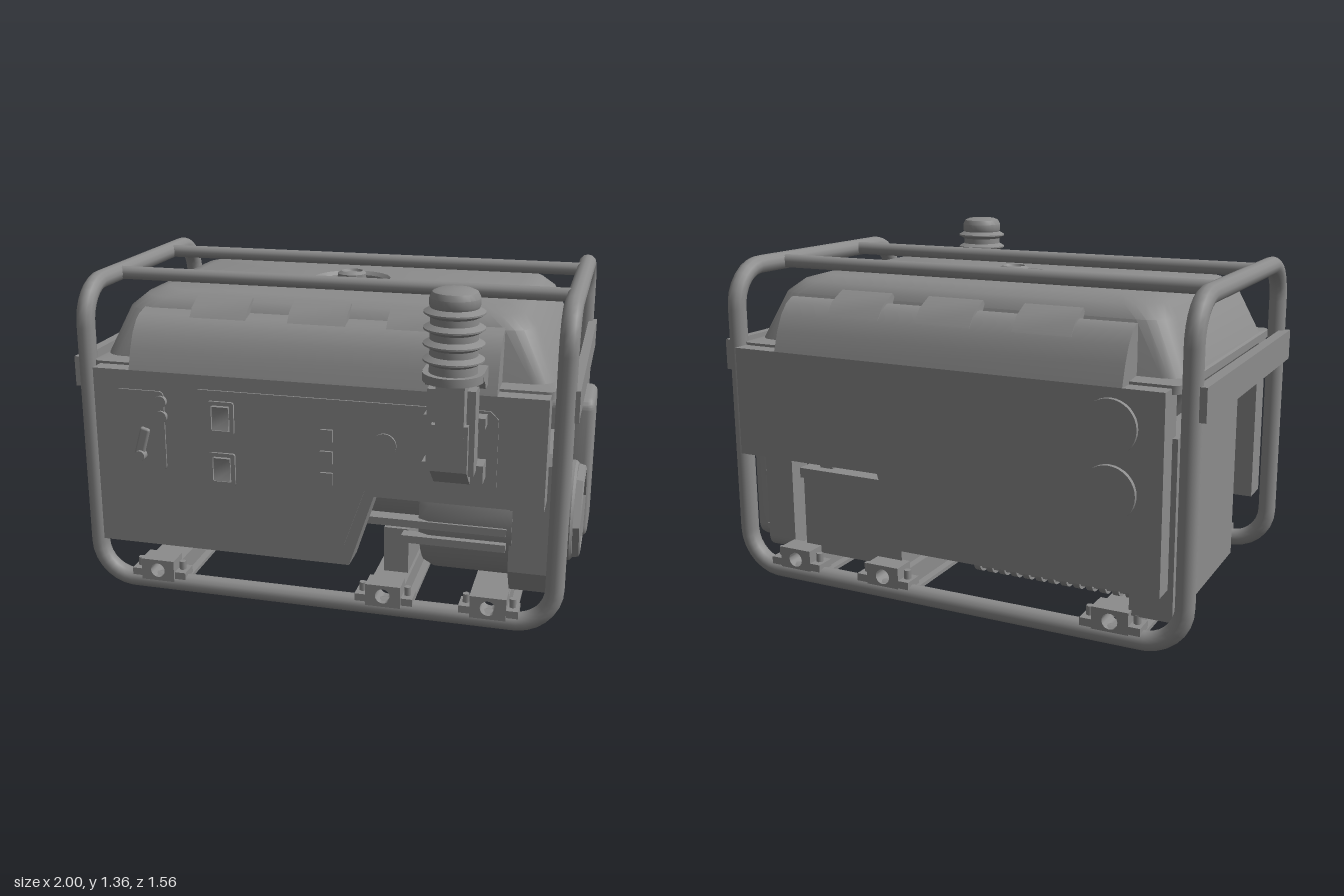
import * as THREE from 'three';
import { toCreasedNormals } from 'three/addons/utils/BufferGeometryUtils.js';
import { RoundedBoxGeometry } from 'three/addons/geometries/RoundedBoxGeometry.js';

const ZC = -0.105; // mid plane between front and back panels
const V = (x, y, z) => new THREE.Vector3(x, y, z);

export function createModel() {
  const root = new THREE.Group();
  const mat = new THREE.MeshStandardMaterial({ color: 0x8c8c8c, side: THREE.DoubleSide });
  const add = (name, geo, x = 0, y = 0, z = 0) => {
    const m = new THREE.Mesh(geo, mat);
    m.name = name;
    m.position.set(x, y, z);
    root.add(m);
    return m;
  };
  // box given by its extents
  const box = (name, x0, x1, y0, y1, z0, z1) =>
    add(name, new THREE.BoxGeometry(x1 - x0, y1 - y0, z1 - z0), (x0 + x1) / 2, (y0 + y1) / 2, (z0 + z1) / 2);
  const shapeOf = pts => new THREE.Shape(pts.map(p => new THREE.Vector2(p[0], p[1])));
  const extrude = (shape, depth, bevel = 0) => toCreasedNormals(new THREE.ExtrudeGeometry(shape, {
    depth, bevelEnabled: bevel > 0, bevelSize: bevel, bevelThickness: bevel, bevelSegments: 3, curveSegments: 12 }), 0.6);
  // profile of [z, y] points swept along x
  const sweepX = (name, pts, x0, x1) =>
    add(name, extrude(shapeOf(pts.map(([z, y]) => [-z, y])), x1 - x0).rotateY(Math.PI / 2), x0);
  // lathe whose axis lies along x; points are [radius, x]
  const latheX = (name, pts, y, z, seg = 32) =>
    add(name, toCreasedNormals(new THREE.LatheGeometry(pts.map(p => new THREE.Vector2(...p)), seg).rotateZ(-Math.PI / 2), 0.5), 0, y, z);
  const latheY = (name, pts, x, z, seg) =>
    add(name, toCreasedNormals(new THREE.LatheGeometry(pts.map(p => new THREE.Vector2(...p)), seg), 0.5), x, 0, z);
  const cylZ = (name, r, len, x, y, z, seg = 20) =>
    add(name, new THREE.CylinderGeometry(r, r, len, seg).rotateX(Math.PI / 2), x, y, z);
  const roundRect = (x0, x1, y0, y1, r) => {
    const s = new THREE.Shape();
    s.moveTo(x0 + r, y0);
    s.absarc(x1 - r, y0 + r, r, -Math.PI / 2, 0);
    s.absarc(x1 - r, y1 - r, r, 0, Math.PI / 2);
    s.absarc(x0 + r, y1 - r, r, Math.PI / 2, Math.PI);
    s.absarc(x0 + r, y0 + r, r, Math.PI, Math.PI * 1.5);
    return s;
  };

  // Tubular frame: one closed path with rounded corners
  const [xl, xr, zf, zb, yb, yt] = [-0.945, 0.915, 0.46, -0.68, 0.036, 1.25];
  const corners = [V(xl, yb, zf), V(xr, yb, zf), V(xr, yt, zf), V(xr, yt, zb),
    V(xr, yb, zb), V(xl, yb, zb), V(xl, yt, zb), V(xl, yt, zf)];
  const path = new THREE.CurvePath();
  const toward = (a, b, d) => a.clone().add(b.clone().sub(a).setLength(d));
  corners.forEach((c, i) => {
    const prev = corners[(i + 7) % 8], next = corners[(i + 1) % 8], r = 0.15;
    path.add(new THREE.CubicBezierCurve3(toward(c, prev, r), toward(c, prev, r * 0.45), toward(c, next, r * 0.45), toward(c, next, r)));
    path.add(new THREE.LineCurve3(toward(c, next, r), toward(next, c, r)));
  });
  add('frame', new THREE.TubeGeometry(path, 320, 0.036, 12, true));
  for (const z of [0.155, -0.385])
    add('topBar', new THREE.CylinderGeometry(0.027, 0.027, xr - xl, 12).rotateZ(Math.PI / 2), (xl + xr) / 2, 1.25, z);
  box('endStrap', 0.93, 0.965, 0.85, 0.97, -0.7, 0.47);
  box('endStrap', -1, -0.96, 0.85, 0.97, -0.7, 0.47);

  // Fuel tank: stacked rounded rectangles [y, x0, x1, z0, z1, radius], ending in the filler well
  const rings = [
    [0.7, -0.1, 0.1, -0.2, 0, 0.05], [0.7, -0.75, 0.73, -0.53, 0.3, 0.08], [0.93, -0.89, 0.87, -0.61, 0.4, 0.1],
    [0.935, -0.91, 0.88, -0.7, 0.49, 0.03], [0.965, -0.91, 0.88, -0.7, 0.49, 0.03], [0.97, -0.9, 0.87, -0.63, 0.42, 0.08],
    [1.155, -0.82, 0.79, -0.59, 0.385, 0.11], [1.2, -0.77, 0.74, -0.55, 0.345, 0.12], [1.22, -0.7, 0.67, -0.49, 0.29, 0.12],
    [1.22, -0.18, 0.14, -0.28, 0.04, 0.16], [1.205, -0.165, 0.125, -0.265, 0.025, 0.145], [1.14, -0.16, 0.12, -0.26, 0.02, 0.14],
    [1.14, -0.02, -0.02, -0.12, -0.12, 0]];
  const pos = [], idx = [], n = 24;
  rings.forEach(([y, x0, x1, z0, z1, r], k) => {
    for (let c = 0; c < 4; c++) for (let j = 0; j < 6; j++) {
      const a = (c + j / 5) * Math.PI / 2;
      const cx = c === 0 || c === 3 ? x1 - r : x0 + r, cz = c < 2 ? z0 + r : z1 - r;
      pos.push(cx + r * Math.cos(a), y, cz - r * Math.sin(a));
    }
    if (k) for (let i = 0; i < n; i++) {
      const a = (k - 1) * n + i, b = (k - 1) * n + (i + 1) % n;
      idx.push(a, b, b + n, a, b + n, a + n);
    }
  });
  const tank = new THREE.BufferGeometry();
  tank.setAttribute('position', new THREE.Float32BufferAttribute(pos, 3));
  tank.setIndex(idx);
  add('fuelTank', toCreasedNormals(tank, 0.6));
  latheY('fillerCap', [[0.13, 1.14], [0.13, 1.165], [0.12, 1.175], [0.06, 1.175], [0.06, 1.24], [0.045, 1.25], [0.04, 1.24], [0, 1.24]], -0.02, -0.12, 12);

  // Front and back panels with stepped lower edge, curved covers and tabs over the tank
  const outline = [[-0.88, 0.24], [0.14, 0.24], [0.235, 0.53], [0.865, 0.53], [0.865, 0.955], [-0.88, 0.955]];
  for (const s of [1, -1]) {
    const side = pts => pts.map(([z, y]) => [ZC + s * (z - ZC), y]);
    const out = s > 0 ? 0 : 0.045; // the back cover stops further from the tank top
    add('sidePanel', extrude(shapeOf(outline), 0.12), 0, 0, s > 0 ? 0.435 : -0.765);
    sweepX('tankCover', side([[0.555, 0.955], [0.53, 1.03], [0.5, 1.09], [0.465, 1.13], [0.43, 1.15],
      [0.37 + out, 1.165 - out / 3], [0.37 + out, 0.955]]), -0.73, 0.68);
    for (const x of [-0.52, -0.13, 0.25])
      sweepX('coverTab', side([[0.45, 1.13], [0.41, 1.18], [0.34, 1.215], [0.33, 1.2], [0.37, 1.13]]
        .map(([z, y]) => [z + out, y - out * 0.7])), x, x + 0.225);
  }
  for (const y of [0.59, 0.82]) cylZ('rearDisc', 0.1, 0.025, -0.69, y, -0.77, 32);

  // Control panel
  const plate = shapeOf([[-0.48, 0.33], [-0.45, 0.3], [0.08, 0.3], [0.12, 0.32], [0.2, 0.55], [0.25, 0.58],
    [0.66, 0.58], [0.69, 0.61], [0.69, 0.87], [0.66, 0.9], [-0.45, 0.9], [-0.48, 0.87]]);
  add('controlPlate', extrude(plate, 0.012), 0, 0, 0.55);
  add('leverPlate', extrude(roundRect(-0.79, -0.59, 0.56, 0.88, 0.02), 0.012), 0, 0, 0.55);
  for (const y of [0.84, 0.78]) cylZ('lamp', 0.024, 0.02, -0.602, y, 0.562);
  add('lever', new RoundedBoxGeometry(0.04, 0.14, 0.02, 2, 0.009), -0.685, 0.665, 0.57).rotation.z = -0.28;
  cylZ('leverKnob', 0.022, 0.035, -0.69, 0.62, 0.575);
  for (const y of [0.795, 0.59]) {
    const sock = roundRect(-0.41, -0.305, y - 0.065, y + 0.065, 0.01);
    sock.holes.push(roundRect(-0.395, -0.32, y - 0.05, y + 0.05, 0.005));
    add('switchFrame', extrude(sock, 0.014), 0, 0, 0.558);
    sweepX('rockerSwitch', [[0.555, y - 0.05], [0.58, y - 0.045], [0.566, y], [0.575, y + 0.045], [0.555, y + 0.05]], -0.39, -0.325);
  }
  for (const y of [0.76, 0.675, 0.59]) box('button', 0.032, 0.08, y - 0.024, y + 0.024, 0.555, 0.572);
  cylZ('dial', 0.046, 0.02, 0.275, 0.74, 0.56, 28);

  // Exhaust stack standing off the front panel
  const sx = 0.54, sz = 0.674;
  const stack = [[0, 1.04], [0.107, 1.04], [0.107, 1.07], [0.085, 1.07]];
  for (const y of [1.115, 1.17, 1.225, 1.28])
    stack.push([0.084, y - 0.016], [0.107, y - 0.003], [0.107, y + 0.003], [0.084, y + 0.016]);
  stack.push([0.088, 1.305], [0.088, 1.33], [0.078, 1.35], [0.06, 1.358], [0, 1.36]);
  latheY('exhaustStack', stack, sx, sz, 24);
  sweepX('stackShelf', [[0.565, 1], [0.62, 1], [0.65, 1.035], [0.68, 1.04], [0.68, 1.07], [0.565, 1.07]], 0.433, 0.647);
  sweepX('stackNeck', [[0.61, 0.85], [0.73, 0.85], [0.73, 1.04], [0.61, 1.04]], 0.49, 0.59);
  sweepX('stackBody', [[0.55, 0.65], [0.645, 0.65], [0.728, 0.72], [0.728, 0.89], [0.55, 0.89]], 0.475, 0.605);
  for (const s of [-1, 1]) {
    const span = (a, b) => s > 0 ? [sx + a, sx + b] : [sx - b, sx - a];
    box('stackFlange', ...span(0.06, 0.11), 0.85, 0.89, 0.55, 0.62);
    sweepX('stackFoot', [[0.55, 0.65], [0.64, 0.65], [0.64, 0.72], [0.55, 0.72]], ...span(0.06, 0.11));
    box('stackRib', ...span(0.055, 0.085), 0.7, 1.01, 0.61, 0.7);
  }

  // Engine: housing, barrel and starter at the +x end
  const ez = 0.14, ey = 0.4;
  const house = [[0.42, 0.66], [0.42, 0.22], [0.34, 0.11]];
  for (let i = 0; i <= 14; i++) {
    const a = -Math.PI / 2 + Math.PI * i / 14;
    house.push([ez - 0.3 * Math.cos(a), ey + 0.3 * Math.sin(a)]);
  }
  house.push([0.39, 0.7]);
  sweepX('engineHousing', house, 0.73, 0.88);
  latheX('starterRim', [[0.265, 0.875], [0.255, 0.89], [0.2, 0.895], [0.2, 0.95], [0.19, 0.96], [0.162, 0.96]], ey - 0.01, 0.15, 18);
  latheX('starterHex', [[0.19, 0.95], [0.182, 0.985], [0.17, 0.99], [0.16, 0.91], [0, 0.91]], ey - 0.01, 0.15, 6);
  for (const a of [-0.5, 0, 0.6])
    add('housingBolt', new THREE.CylinderGeometry(0.018, 0.018, 0.05, 8).rotateZ(Math.PI / 2), 0.85, ey + 0.3 * Math.sin(a), ez - 0.3 * Math.cos(a));
  latheX('engineBarrel', [[0, 0.38], [0.27, 0.38], [0.29, 0.42], [0.29, 0.74], [0, 0.74]], ey, ez);
  latheX('generator', [[0, -0.6], [0.18, -0.6], [0.2, -0.57], [0.2, 0.4]], 0.45, 0.06);
  box('engineBlock', 0.36, 0.74, 0.12, 0.69, -0.24, 0.12);
  box('carburettor', 0.68, 0.8, 0.3, 0.6, -0.5, -0.1);
  box('engineBar', 0.32, 0.72, 0.31, 0.34, 0.4, 0.45);
  box('engineBar', 0.17, 0.72, 0.37, 0.4, 0.38, 0.44);
  box('engineMount', 0.22, 0.32, 0.11, 0.3, 0.02, 0.3);

  // Finned muffler behind the back panel and its shield at the -x end
  box('muffler', -0.71, -0.1, 0.15, 0.5, -0.58, -0.24);
  for (let i = 0; i < 13; i++)
    add('mufflerFin', extrude(roundRect(0.22, 0.6, 0.13, 0.52, 0.05), 0.026).rotateY(Math.PI / 2), -0.72 + i * 0.051);
  box('endShield', -0.9, -0.74, 0.12, 0.78, -0.68, 0.06);

  // Air cleaner box with clips
  add('airCleanerBase', extrude(roundRect(0.19, 0.6, 0.08, 0.745, 0.05), 0.13).rotateY(Math.PI / 2), 0.75);
  add('airCleanerCover', extrude(roundRect(0.275, 0.51, 0.12, 0.7, 0.03), 0.1, 0.03).rotateY(Math.PI / 2), 0.865);
  for (const y of [0.165, 0.395, 0.625]) for (const z of [-0.222, -0.568])
    box('airCleanerClip', 0.87, 0.9, y - 0.01, y + 0.01, z - 0.017, z + 0.017);

  // Battery with terminals and cables
  box('battery', 0.22, 0.67, 0.11, 0.42, -0.63, -0.27);
  box('batteryLid', 0.21, 0.68, 0.42, 0.46, -0.64, -0.26);
  for (const x of [0.3, 0.58]) {
    box('batteryTerminal', x - 0.03, x + 0.03, 0.46, 0.49, -0.6, -0.54);
    add('batteryCable', new THREE.TubeGeometry(new THREE.CatmullRomCurve3(
      [V(x, 0.48, -0.57), V(x + 0.03, 0.54, -0.61), V(x + 0.1, 0.56, -0.58), V(x + 0.12, 0.5, -0.3)]), 30, 0.013, 8));
  }

  // Cross rails with drilled mounting brackets at both ends
  const channel = [[-0.1, 0.02], [-0.055, 0.02], [-0.055, 0.095], [0.055, 0.095], [0.055, 0.02], [0.1, 0.02],
    [0.1, 0.035], [0.07, 0.035], [0.07, 0.11], [-0.07, 0.11], [-0.07, 0.035], [-0.1, 0.035]];
  for (const x of [-0.68, 0.26, 0.67]) {
    add('crossRail', extrude(shapeOf(channel), 1.06), x, 0, -0.64);
    for (const z of [0.41, -0.71]) {
      const b = shapeOf([[-0.07, 0.05], [0.07, 0.05], [0.07, 0.14], [-0.07, 0.14]]);
      b.holes.push(new THREE.Path().absarc(0, 0.095, 0.03, 0, Math.PI * 2, true));
      add('mountBracket', extrude(b, 0.09), x, 0, z);
      for (const s of [-1, 1]) {
        box('bracketFoot', x + s * 0.09 - 0.025, x + s * 0.09 + 0.025, 0.06, 0.09, z, z + 0.08);
        add('bracketBolt', new THREE.CylinderGeometry(0.014, 0.014, 0.04, 6), x + s * 0.09, 0.105, z + 0.04);
      }
    }
  }
  return root;
}
